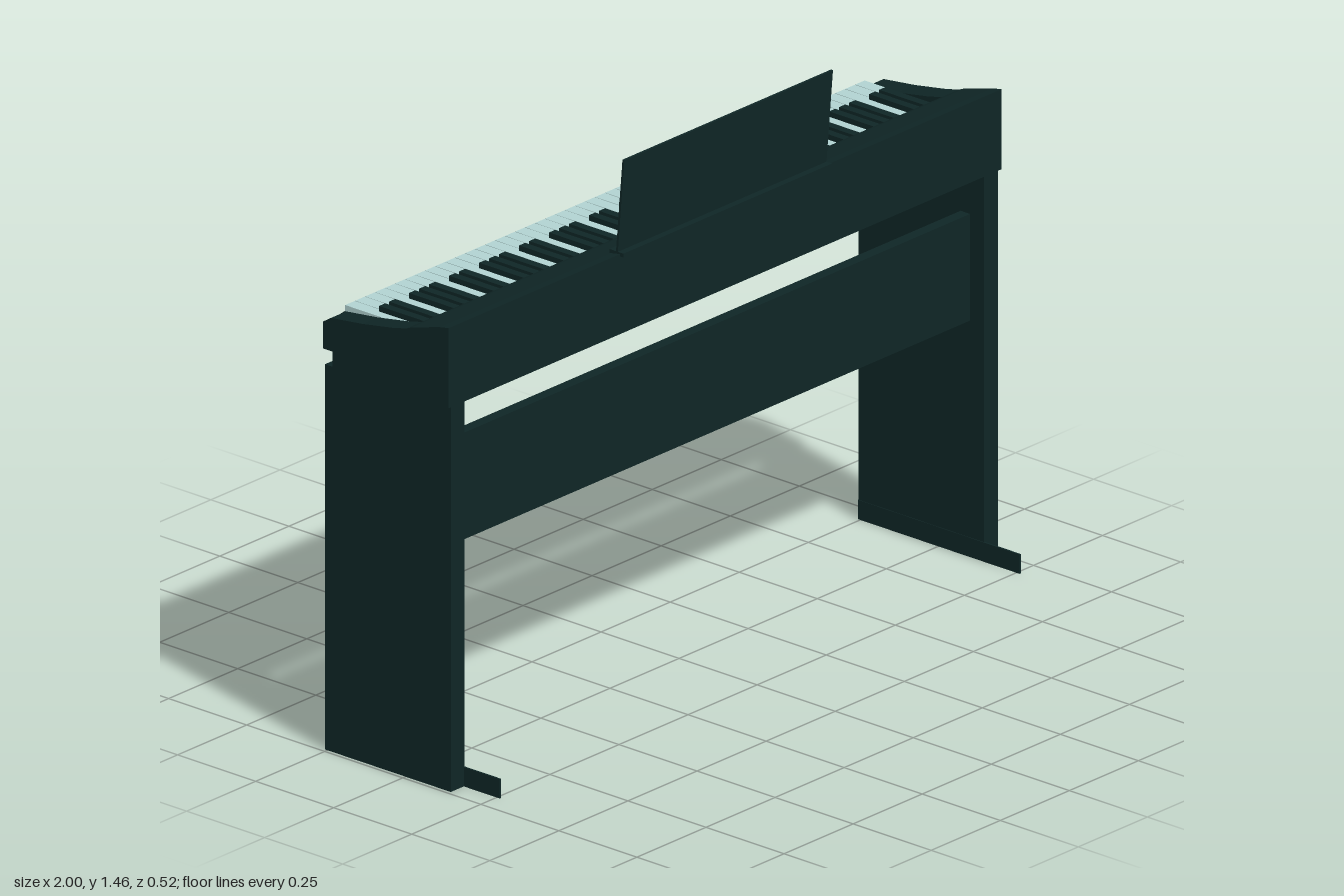
import * as THREE from 'three';

export function createModel() {
  const model = new THREE.Group();
  const casing = new THREE.MeshStandardMaterial({ color: 0x0f2626 });
  casing.name = 'dark casing';
  const ivory = new THREE.MeshStandardMaterial({ color: 0xb2d3d2 });
  ivory.name = 'pale keys';

  const add = (name, geometry, material = casing, parent = model) => {
    const mesh = new THREE.Mesh(geometry, material);
    mesh.name = name;
    parent.add(mesh);
    return mesh;
  };
  // Box given by its limits on each axis
  const box = (name, [x0, x1], [y0, y1], [z0, z1], material, parent) => {
    const mesh = add(name, new THREE.BoxGeometry(x1 - x0, y1 - y0, z1 - z0), material, parent);
    mesh.position.set((x0 + x1) / 2, (y0 + y1) / 2, (z0 + z1) / 2);
    return mesh;
  };
  // Side profile of [z, y] points, swept from x0 to x1
  const sweep = (name, points, x0, x1) => {
    const shape = new THREE.Shape(points.map(([z, y]) => new THREE.Vector2(-z, y)));
    const geometry = new THREE.ExtrudeGeometry(shape, { depth: x1 - x0, bevelEnabled: false });
    geometry.rotateY(Math.PI / 2).translate(x0, 0, 0);
    return add(name, geometry);
  };

  // Casing: a middle section with a recessed key bed, and a cheek at each end
  const keyLeft = -0.945, keyRight = 0.937;
  const underside = [[-0.255, 1.115], [-0.255, 1.045], [-0.225, 1.045], [-0.225, 1], [0.147, 1]];
  const rearTop = [[0.147, 1.208], [0.12, 1.203], [0.03, 1.178], [0.012, 1.17]];
  sweep('body', [...underside, ...rearTop, [0.012, 1.13], [-0.235, 1.13]], keyLeft, keyRight);
  const cheek = [...underside, ...rearTop, [-0.03, 1.16], [-0.13, 1.143], [-0.23, 1.131]];
  sweep('rightCheek', cheek, -1, keyLeft);
  sweep('leftCheek', cheek, keyRight, 1);

  // Keys: 52 pale ones, with dark ones over the gaps in groups of two and three
  const keys = new THREE.Group();
  keys.name = 'keyboard';
  model.add(keys);
  const count = 52, pitch = (keyRight - keyLeft) / count;
  for (let i = 0; i < count; i++) {
    const x = keyLeft + i * pitch;
    box('paleKey', [x + 0.001, x + pitch - 0.001], [1.13, 1.146], [-0.234, 0.012], ivory, keys);
    if ([1, 2, 4, 5, 6].includes(i % 7)) {
      box('darkKey', [x - 0.011, x + 0.011], [1.14, 1.16], [-0.147, 0.012], casing, keys);
    }
  }

  // Music rest: ledge and leaning panel
  box('restLedge', [-0.38, 0.375], [1.202, 1.212], [0.113, 0.158]);
  const lean = 0.085, height = 0.247;
  const rest = new THREE.BoxGeometry(0.755, height, 0.006).translate(0, height / 2, 0);
  const panel = add('musicRest', rest);
  panel.position.set(-0.0025, 1.209, 0.137);
  panel.rotation.x = lean;

  // Stand: side panels with thin feet on the inner faces, and a cross panel
  for (const [side, name] of [[-1, 'right'], [1, 'left']]) {
    const span = (a, b) => (side > 0 ? [a, b] : [-b, -a]);
    box(name + 'Leg', span(0.94, 0.99), [0, 1], [-0.258, 0.145]);
    box(name + 'Foot', span(0.938, 0.943), [0, 0.05], [-0.258, 0.26]);
  }
  box('crossPanel', [-0.941, 0.941], [0.613, 0.89], [0.07, 0.1]);

  return model;
}
